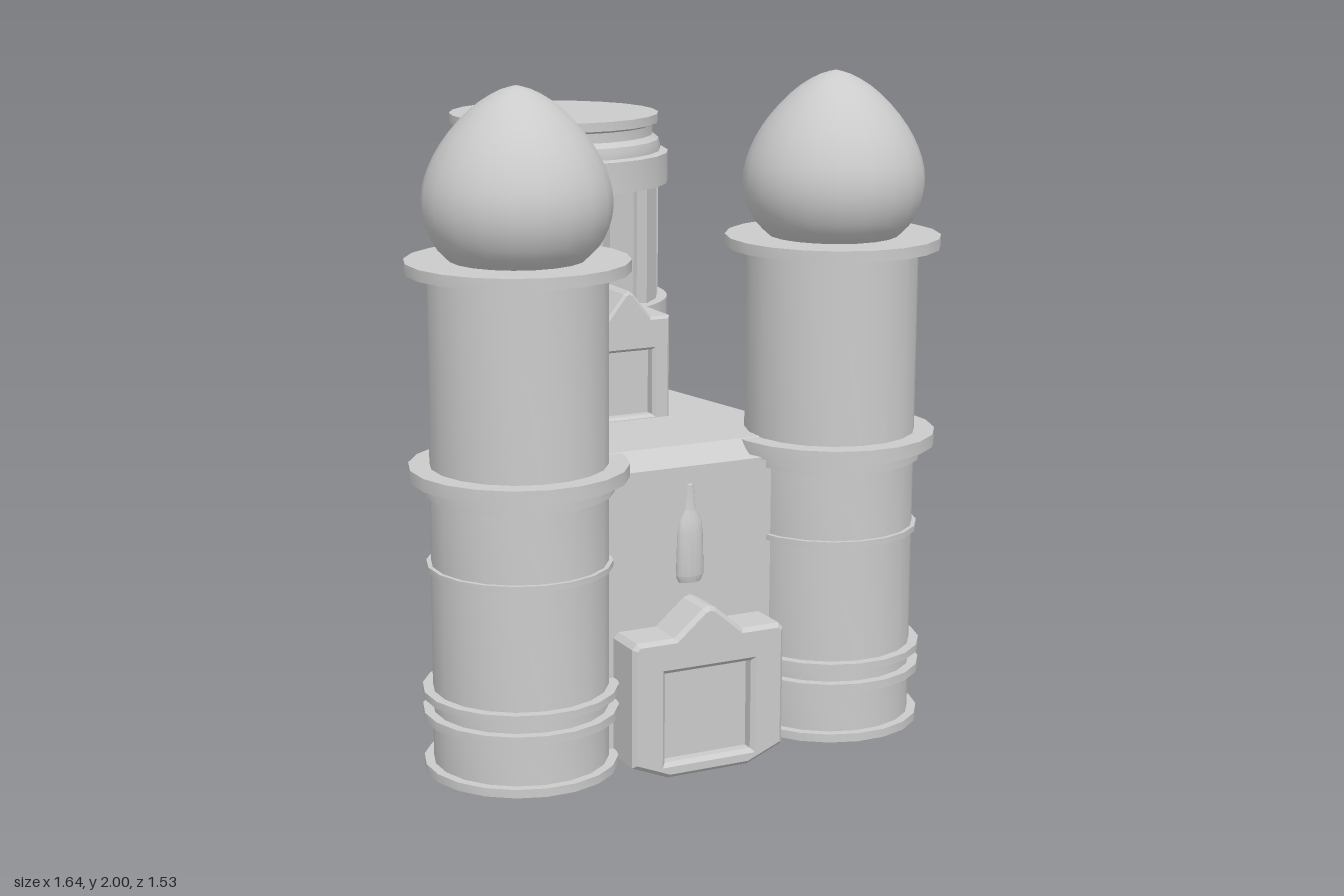
import * as THREE from 'three';
import { toCreasedNormals } from 'three/addons/utils/BufferGeometryUtils.js';
import { ConvexGeometry } from 'three/addons/geometries/ConvexGeometry.js';

const material = new THREE.MeshStandardMaterial({ color: 0xcccccc });

function add(parent, name, geometry, x = 0, y = 0, z = 0) {
  const mesh = new THREE.Mesh(geometry, material);
  mesh.name = name;
  mesh.position.set(x, y, z);
  parent.add(mesh);
  return mesh;
}

// Turned solid from [radius, height] pairs, bottom to top
function turned(profile, sides) {
  const points = profile.map(([r, y]) => new THREE.Vector2(r, y));
  return toCreasedNormals(new THREE.LatheGeometry(points, sides, Math.PI / sides), 0.55);
}

// Band of a tower: straight outline at radius r between two heights
const band = (r, y0, y1) => [[r, y0], [r, y1]];

// Symmetric outline: the right half is given from bottom to top
function mirrored(half) {
  const left = half.filter(([x]) => x > 0).reverse().map(([x, y]) => [-x, y]);
  return [...half, ...left].map(([x, y]) => new THREE.Vector2(x, y));
}

// Slab from z0 to z1 with a lightly bevelled front and an optional hole
function slab(half, z0, z1, hole, bevel = 0.012) {
  const shape = new THREE.Shape(mirrored(half));
  if (hole) shape.holes.push(new THREE.Path(mirrored(hole)));
  const g = new THREE.ExtrudeGeometry(shape, {
    depth: z1 - z0 - 2 * bevel, bevelEnabled: bevel > 0, bevelThickness: bevel,
    bevelSize: bevel, bevelOffset: -bevel, bevelSegments: 1,
  });
  return g.translate(0, 0, z0 + bevel);
}

// Round front tower with ring mouldings and a pointed dome
function frontTower(name, x) {
  const tower = new THREE.Group();
  tower.name = name;
  tower.position.set(x, 0, 0.45);
  const r = 0.253;
  add(tower, 'shaft', turned([
    [0, 0.045], ...band(0.28, 0.045, 0.07),
    ...band(r, 0.07, 0.2), ...band(0.282, 0.2, 0.225),
    ...band(r, 0.225, 0.265), ...band(0.282, 0.265, 0.287),
    ...band(r, 0.287, 0.638), ...band(0.266, 0.638, 0.655),
    ...band(r, 0.655, 0.858), ...band(0.27, 0.858, 0.885), ...band(0.285, 0.885, 0.9),
    ...band(0.313, 0.9, 0.938), ...band(r, 0.938, 1.487),
    ...band(0.317, 1.487, 1.52), [0, 1.52],
  ], 20));
  const outline = new THREE.SplineCurve([
    [0.185, 1.515], [0.23, 1.56], [0.258, 1.62], [0.266, 1.68], [0.257, 1.74],
    [0.228, 1.81], [0.18, 1.88], [0.115, 1.945], [0.05, 1.985], [0, 2],
  ].map(([a, b]) => new THREE.Vector2(a, b))).getPoints(20);
  add(tower, 'dome', turned(outline.map((p) => [Math.max(p.x, 0), p.y]), 20));
  return tower;
}

// Large rear tower with a pilastered gallery and a moulded cap
function rearTower() {
  const tower = new THREE.Group();
  tower.name = 'rearTower';
  tower.position.z = -0.412;
  const sides = 24;
  add(tower, 'shaft', turned([
    [0, 0.03], ...band(0.327, 0.03, 1.235), ...band(0.296, 1.235, 1.6),
    ...band(0.358, 1.6, 1.695), ...band(0.333, 1.7, 1.715), [0.328, 1.735],
    [0.31, 1.75], [0.31, 1.78], ...band(0.327, 1.787, 1.815), [0, 1.815],
  ], sides));
  // Gallery sill, open at the front
  const sill = new THREE.Shape();
  const gap = 0.42;
  sill.absarc(0, 0, 0.356, -Math.PI / 2 + gap, Math.PI * 1.5 - gap, false);
  sill.absarc(0, 0, 0.3, Math.PI * 1.5 - gap, -Math.PI / 2 + gap, true);
  const sillGeometry = new THREE.ExtrudeGeometry(sill, { depth: 0.08, bevelEnabled: false, curveSegments: 24 });
  add(tower, 'gallerySill', toCreasedNormals(sillGeometry.rotateX(-Math.PI / 2), 0.55), 0, 1.156, 0);
  const count = 12;
  for (let i = 0; i < count; i++) {
    const a = ((i + 0.5) / count) * Math.PI * 2;
    const pilaster = add(tower, 'pilaster', new THREE.BoxGeometry(0.095, 0.37, 0.06),
      Math.sin(a) * 0.294, 1.418, Math.cos(a) * 0.294);
    pilaster.rotation.y = a;
  }
  return tower;
}

export function createModel() {
  const model = new THREE.Group();
  model.name = 'castleGate';
  model.add(frontTower('leftTower', 0.505), frontTower('rightTower', -0.505), rearTower());

  // Tapering central block with a chamfered roof edge
  const corners = [];
  for (const s of [-1, 1]) {
    for (const y of [0.06, 0.89]) {
      corners.push(new THREE.Vector3(s * 0.49, y, 0.525), new THREE.Vector3(s * 0.315, y, -0.34));
    }
    corners.push(new THREE.Vector3(s * 0.435, 0.94, 0.47), new THREE.Vector3(s * 0.29, 0.94, -0.25));
  }
  add(model, 'centralBlock', new ConvexGeometry(corners));

  // Gabled gatehouse with a recessed door
  const gate = new THREE.Group();
  gate.name = 'gatehouse';
  model.add(gate);
  const gateOutline = [[0.13, 0.003], [0.245, 0.05], [0.245, 0.405], [0.23, 0.422], [0.11, 0.422],
    [0.02, 0.498], [0, 0.505]];
  add(gate, 'gateBody', slab(gateOutline, 0.335, 0.615, null, 0));
  add(gate, 'gateFrame', slab(gateOutline, 0.6, 0.657,
    [[0.14, 0.05], [0.14, 0.32]]));

  // Gabled dormer on the roof with a recessed window
  const dormer = new THREE.Group();
  dormer.name = 'dormer';
  model.add(dormer);
  const dormerOutline = [[0.137, 0.93], [0.137, 1.25], [0.075, 1.25], [0.015, 1.325], [0, 1.335]];
  add(dormer, 'dormerBody', slab(dormerOutline, -0.13, 0.09, null, 0));
  add(dormer, 'dormerFrame', slab(dormerOutline, 0.08, 0.126,
    [[0.08, 0.95], [0.08, 1.15]], 0.008));

  // Bottle-shaped relief above the gate
  const relief = add(model, 'wallRelief', turned([
    [0, 0.545], [0.036, 0.545], [0.046, 0.565], [0.042, 0.69], [0.036, 0.73],
    [0.019, 0.76], [0.013, 0.835], [0, 0.84],
  ], 16), 0, 0, 0.522);
  relief.scale.z = 0.55;
  return model;
}
